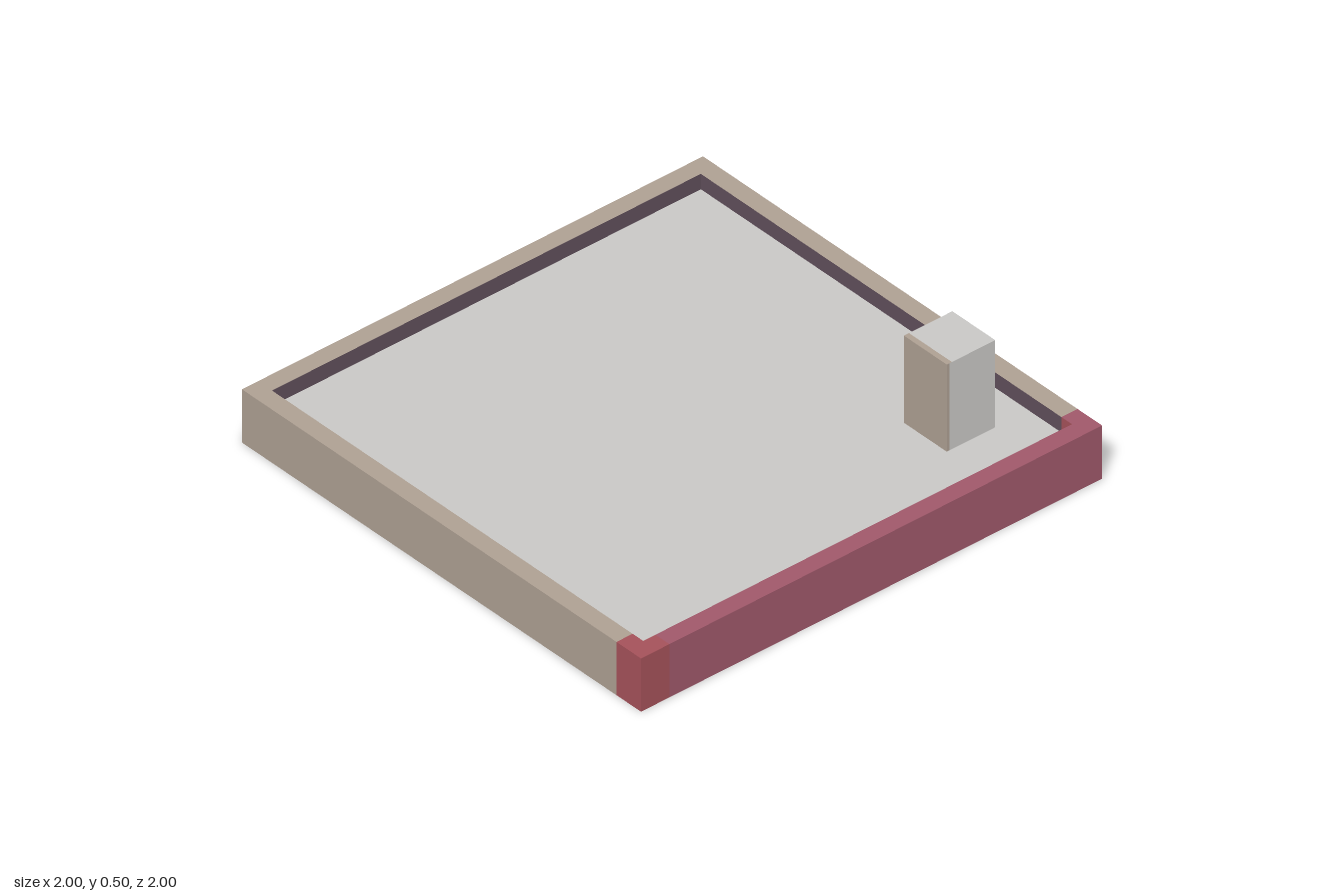
import * as THREE from 'three';

const mat = (name, color) => {
  const m = new THREE.MeshStandardMaterial({ color });
  m.name = name;
  return m;
};

export function createModel() {
  const taupe = mat('taupe', 0xaea093);
  const plum = mat('plum', 0xa0586a);
  const red = mat('red', 0xa5525a);
  const grey = mat('lightGrey', 0xc9c8c6);
  const dark = mat('darkMauve', 0x604f5b);

  const model = new THREE.Group();
  model.name = 'tray';

  // Block between two corners that keeps only the listed faces
  const ORDER = ['right', 'left', 'top', 'bottom', 'front', 'back'];
  function block(name, [x0, x1], [y0, y1], [z0, z1], faces) {
    const g = new THREE.BoxGeometry(x1 - x0, y1 - y0, z1 - z0);
    g.translate((x0 + x1) / 2, (y0 + y1) / 2, (z0 + z1) / 2);
    const source = Array.from(g.index.array);
    const index = [], mats = [];
    g.clearGroups();
    ORDER.forEach((side, i) => {
      if (!faces[side]) return;
      g.addGroup(index.length, 6, mats.length);
      index.push(...source.slice(i * 6, i * 6 + 6));
      mats.push(faces[side]);
    });
    g.setIndex(index);
    const mesh = new THREE.Mesh(g, mats);
    mesh.name = name;
    model.add(mesh);
  }

  const R = 0.93;      // inner edge of the rim
  const S = 0.877;     // where the coloured corner bands begin
  const H = 0.215;     // rim height
  const F = 0.153;     // floor height
  const tall = [0, H], low = [0, F], lip = [F, H];

  // Rim walls
  const caps = (m) => ({ top: m, bottom: m });
  block('sideWallPlain', [-1, -R], tall, [-1, 1], { ...caps(taupe), left: taupe, front: taupe, back: taupe });
  block('frontWall', [-R, S], tall, [R, 1], { ...caps(taupe), front: taupe });
  block('backWall', [-R, S], tall, [-1, -R], { ...caps(taupe), back: taupe });
  block('sideWallColoured', [R, 1], tall, [-1, S], { ...caps(plum), right: plum, back: plum });
  block('backCornerBand', [S, R], tall, [-1, -R], { ...caps(plum), back: plum });
  block('frontCorner', [R, 1], tall, [S, 1], { ...caps(red), right: red, front: red });
  block('frontCornerBand', [S, R], tall, [R, 1], { ...caps(red), front: red });

  // Inner faces of the rim
  block('innerSidePlain', [-1, -R], lip, [-R, R], { right: dark });
  block('innerSideColoured', [R, 1], lip, [-R, R], { left: red });
  for (const [from, to, m] of [[-R, S, dark], [S, R, red]]) {
    block('innerFront', [from, to], lip, [R, 1], { back: m });
    block('innerBack', [from, to], lip, [-1, -R], { front: m });
  }

  // Floor slab and its underside
  block('floor', [-R, R], low, [-R, R], { top: grey });
  block('underside', [-R, S], low, [-R, R], { bottom: taupe });
  block('undersideBand', [S, R], low, [-R, S], { bottom: plum });
  block('undersideCorner', [S, R], low, [S, R], { bottom: red });
  block('floorCornerPatch', [-R, -0.875], [F, F + 0.002], [0.885, R], { top: taupe });

  // Upright post with a taupe front
  const px = [0.498, 0.713], py = [F, 0.505];
  const back = -0.785, front = -0.575;
  block('post', px, py, [back, front - 0.011],
    { right: grey, left: grey, back: grey });
  block('postFront', px, py, [front - 0.011, front],
    { right: taupe, left: taupe, front: taupe });
  block('postTop', px, py, [back, front - 0.022], { top: grey });
  block('postTopEdge', px, py, [front - 0.022, front], { top: taupe });

  return model;
}
